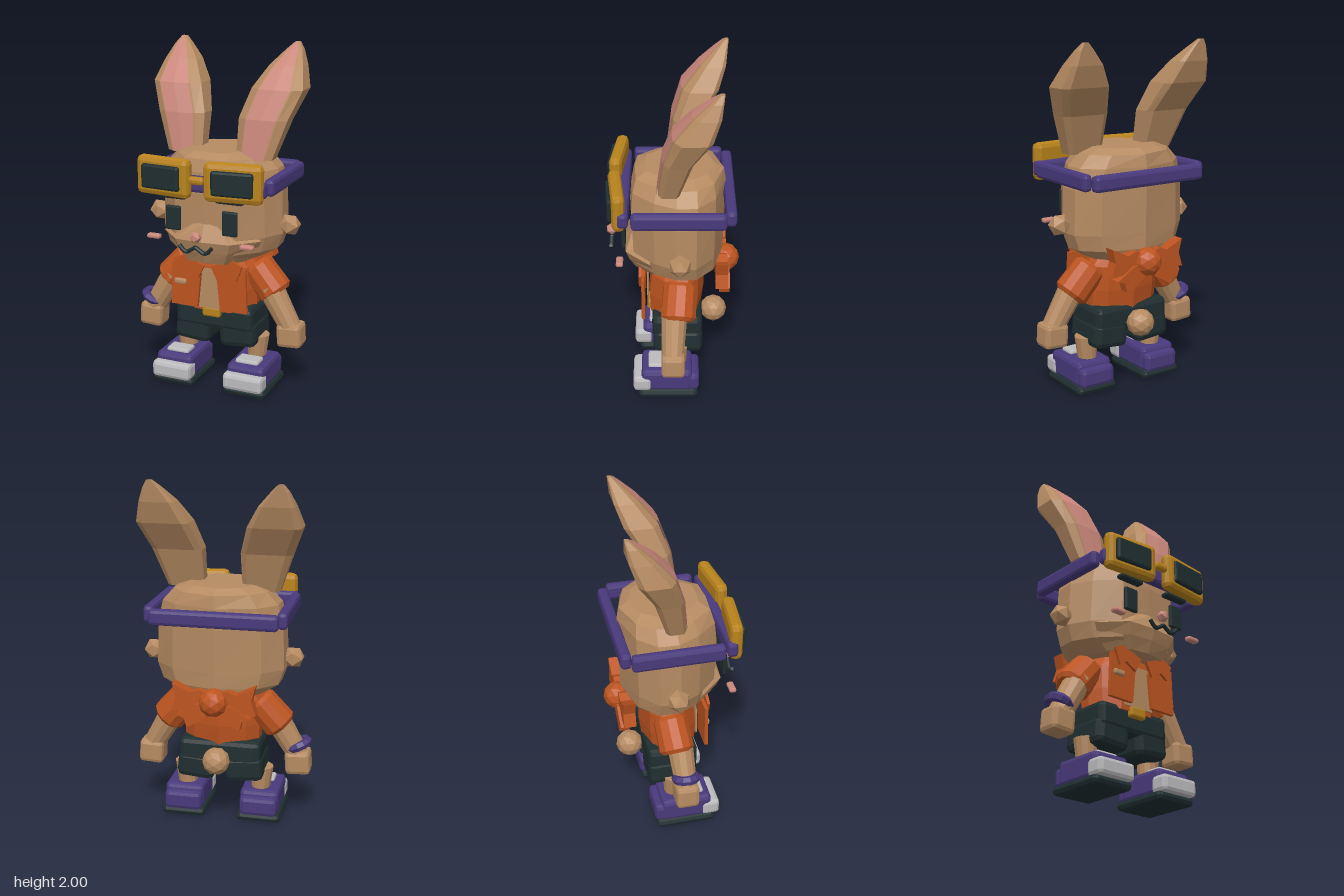
import * as THREE from 'three';
import { RoundedBoxGeometry } from 'three/addons/geometries/RoundedBoxGeometry.js';

export function createModel() {
  const root = new THREE.Group();
  root.name = 'rabbit';
  const mat = (name, color) => {
    const m = new THREE.MeshStandardMaterial({ color });
    m.name = name;
    return m;
  };
  const fur = mat('fur', 0xb68b62), orange = mat('orange cloth', 0xbd5420), purple = mat('purple', 0x493a7c);
  const gold = mat('gold', 0xb9831c), dark = mat('dark', 0x202e30), white = mat('light grey', 0xbcbcbe);
  const pink = mat('pink', 0xca877b);
  pink.side = THREE.DoubleSide;

  // Faceted mesh
  const add = (name, geo, m, x = 0, y = 0, z = 0) => {
    const g = geo.index ? geo.toNonIndexed() : geo;
    g.computeVertexNormals();
    const mesh = new THREE.Mesh(g, m);
    mesh.name = name;
    mesh.position.set(x, y, z);
    root.add(mesh);
    return mesh;
  };
  // Bevelled box given by its limits
  const box = (name, m, [x0, x1], [y0, y1], [z0, z1], r = 0.02) =>
    add(name, new RoundedBoxGeometry(x1 - x0, y1 - y0, z1 - z0, 1, r), m, (x0 + x1) / 2, (y0 + y1) / 2, (z0 + z1) / 2);
  // x limits on the chosen side
  const side = (s, a, b) => (s > 0 ? [a, b] : [-b, -a]);
  // Tapered limb between two points, with optional bevelled ends
  const limb = (name, m, a, b, ra, rb, n = 12, bevel = 0) => {
    const p = new THREE.Vector3(...a), q = new THREE.Vector3(...b), d = q.clone().sub(p), h = d.length() / 2;
    const profile = [[0, -h], [ra - bevel, -h], [ra, -h + bevel], [rb, h - bevel], [rb - bevel, h], [0, h]];
    const mesh = add(name, new THREE.LatheGeometry(profile.map(([r, y]) => new THREE.Vector2(r, y)), n), m);
    mesh.position.copy(p).add(q).multiplyScalar(0.5);
    mesh.quaternion.setFromUnitVectors(new THREE.Vector3(0, 1, 0), d.normalize());
    return mesh;
  };
  // Skin over stacked rings, counter-clockwise from above
  const loft = (rings, closed = true) => {
    const v = [], n = rings[0].length;
    const mid = (r) => r.reduce((c, p) => c.map((k, i) => k + p[i] / n), [0, 0, 0]);
    for (let j = 0; j < rings.length - 1; j++) {
      const a = rings[j], b = rings[j + 1];
      for (let i = 0; i < (closed ? n : n - 1); i++) {
        const k = (i + 1) % n;
        v.push(...a[i], ...a[k], ...b[k], ...a[i], ...b[k], ...b[i]);
      }
    }
    if (closed) {
      const lo = rings[0], hi = rings[rings.length - 1], cl = mid(lo), ch = mid(hi);
      for (let i = 0; i < n; i++) {
        const k = (i + 1) % n;
        v.push(...cl, ...lo[k], ...lo[i], ...ch, ...hi[i], ...hi[k]);
      }
    }
    const g = new THREE.BufferGeometry();
    g.setAttribute('position', new THREE.Float32BufferAttribute(v, 3));
    return g;
  };
  // Flat plate from an outline, mirrored by s
  const plate = (name, m, pts, s, depth, z) => {
    const shape = new THREE.Shape(pts.map(([x, y]) => new THREE.Vector2(x * s, y)));
    return add(name, new THREE.ExtrudeGeometry(shape, { depth, bevelEnabled: false }), m, 0, 0, z);
  };

  // Head
  const half = [[0.5, 0.96], [0.83, 0.5], [1, 0.05], [0.98, -0.38], [0.68, -0.76]];
  const outline = [[0, 1], ...half, [0, -1], ...half.map(([u, w]) => [-u, w]).reverse()];
  const ring = ([y, w, zf, zb]) => outline.map(([u, t]) => [u * w, y, (zf + zb) / 2 + t * (zf - zb) / 2]);
  add('head', loft([
    [0.8, 0.24, 0.2, -0.27], [0.86, 0.34, 0.225, -0.285], [0.95, 0.372, 0.235, -0.287], [1.2, 0.365, 0.245, -0.293],
    [1.32, 0.335, 0.235, -0.293], [1.39, 0.27, 0.215, -0.28], [1.42, 0.19, 0.16, -0.23],
  ].map(ring)), fur);
  // Muzzle with cheeks swept back
  add('muzzle', loft([[0.8, 0.2, 0.235, 0.1], [0.87, 0.26, 0.265, 0.1], [0.935, 0.3, 0.285, 0.12], [1.03, 0.12, 0.245, 0.14]]
    .map(([y, w, f, b]) => [[0, y, f], [w * 0.55, y, f - 0.015], [w, y, b + 0.01], [w * 0.7, y, b],
      [-w * 0.7, y, b], [-w, y, b + 0.01], [-w * 0.55, y, f - 0.015]])), fur);
  add('nose', new THREE.IcosahedronGeometry(0.034), pink, 0, 0.985, 0.355);

  // Ears: y, outer x, inner x, front z, back z
  const earRows = [
    [1.38, 0.325, 0.115, 0.035, -0.08], [1.6, 0.4, 0.115, 0.005, -0.15], [1.76, 0.462, 0.165, -0.05, -0.25],
    [1.88, 0.43, 0.235, -0.15, -0.29], [1.96, 0.4, 0.305, -0.235, -0.3], [2.0, 0.375, 0.345, -0.28, -0.305],
  ];
  const earSection = [[0, 0.2], [0.17, 0.02], [0.5, 0], [0.83, 0.02], [1, 0.2], [1, 0.85], [0.88, 1], [0.12, 1], [0, 0.85]];
  const innerSection = [[0.2, 0], [0.5, -0.03], [0.8, 0]];

  for (const s of [-1, 1]) {
    const tag = s > 0 ? 'left' : 'right';
    const S = (a, b) => side(s, a, b);
    const earRing = (section) => ([y, xo, xi, f, b]) => {
      const [x0, x1] = S(xi, xo);
      return section.map(([u, t]) => [x0 + (x1 - x0) * u, y, f + (b - f) * t]);
    };
    const dz = s > 0 ? 0.05 : 0;
    add(tag + 'Ear', loft(earRows.map(earRing(earSection))), fur, 0, 0, dz);
    add(tag + 'InnerEar', loft(earRows.map(earRing(innerSection)), false), pink, 0, 0, dz + 0.005);

    // Face details
    add(tag + 'CheekTuft', new THREE.IcosahedronGeometry(0.065), fur, s * 0.405, 1, -0.035);
    box(tag + 'Eye', dark, S(0.125, 0.215), [0.99, 1.13], [0.268, 0.29], 0.009);
    box(tag + 'Brow', dark, S(0.09, 0.25), [1.172, 1.198], [0.25, 0.3], 0.01);
    box(tag + 'Blush', pink, S(0.24, 0.32), [0.933, 0.96], [0.28, 0.32], 0.01);
    const lip = [[0, 0.93], [0.05, 0.898], [0.072, 0.905], [0.098, 0.934]];
    for (let i = 1; i < lip.length; i++) {
      const [[x0, y0], [x1, y1]] = [lip[i - 1], lip[i]];
      limb(tag + 'Lip' + i, dark, [s * x0, y0, 0.357], [s * x1, y1, 0.357], 0.012, 0.012, 6);
    }

    // Goggles and side strap
    box(tag + 'GoggleFrame', gold, S(0.04, 0.372), [1.19, 1.41], [0.275, 0.347], 0.03).rotation.y = s * 0.11;
    box(tag + 'Lens', dark, S(0.092, 0.33), [1.232, 1.37], [0.335, 0.367], 0.014).rotation.y = s * 0.08;
    box(tag + 'Strap', purple, S(0.345, 0.402), [1.22, 1.315], [-0.285, 0.23]);

    // Open shirt front, collar and sleeve
    plate(tag + 'ShirtPanel', orange, [[0.07, 0.51], [0.235, 0.51], [0.225, 0.77], [0.08, 0.77], [0.05, 0.71]], s, 0.02, 0.165);
    plate(tag + 'Collar', orange, [[0.06, 0.69], [0.13, 0.73], [0.175, 0.7], [0.21, 0.79], [0.15, 0.82], [0.02, 0.77]], s, 0.016, 0.184);
    limb(tag + 'Sleeve', orange, [s * 0.2, 0.742, -0.04], [s * 0.343, 0.578, -0.025], 0.098, 0.102, 12, 0.022);

    // Arm and hand
    limb(tag + 'Arm', fur, [s * 0.3, 0.63, -0.005], [s * 0.435, 0.4, 0.005], 0.077, 0.064);
    box(tag + 'Hand', fur, S(0.366, 0.512), [0.29, 0.43], [-0.065, 0.07], 0.024).rotation.z = s * 0.06;

    // Short leg, ankle and shoe
    box(tag + 'ShortsLeg', dark, S(0.03, 0.25), [0.262, 0.42], [-0.17, 0.12], 0.035).rotation.z = s * 0.08;
    limb(tag + 'Leg', fur, [s * 0.22, 0.17, -0.02], [s * 0.23, 0.32, -0.02], 0.054, 0.066);
    box(tag + 'Sole', dark, S(0.095, 0.355), [0.005, 0.06], [-0.145, 0.21], 0.025);
    box(tag + 'Shoe', purple, S(0.11, 0.34), [0.045, 0.19], [-0.11, 0.19], 0.025);
    box(tag + 'Heel', purple, S(0.115, 0.335), [0.045, 0.16], [-0.152, 0.02], 0.025);
    box(tag + 'ToeCap', white, S(0.104, 0.346), [0.05, 0.147], [0.13, 0.24], 0.022);
    box(tag + 'Tongue', white, S(0.15, 0.29), [0.18, 0.21], [0.05, 0.15], 0.012);

    // Back bow
    plate(tag + 'BowLoop', orange, [[0, 0.83], [0.08, 0.86], [0.13, 0.84], [0.235, 0.89], [0.215, 0.81], [0.24, 0.73],
      [0.12, 0.74], [0, 0.75]], s, 0.07, -0.31);
    plate(tag + 'BowTail', orange, [[0, 0.79], [0.1, 0.78], [0.21, 0.71], [0.165, 0.695], [0.15, 0.64], [0.04, 0.7]], s, 0.06, -0.325);
  }

  // Goggle bridge and strap
  box('goggleBridge', gold, [-0.045, 0.045], [1.278, 1.322], [0.32, 0.36], 0.015);
  box('frontStrap', purple, [-0.38, 0.38], [1.22, 1.31], [0.243, 0.305]);
  box('backStrap', purple, [-0.36, 0.36], [1.22, 1.31], [-0.34, -0.28]);

  // Torso
  add('torso', loft([[0.48, 0.22, 0.14, -0.165], [0.6, 0.225, 0.145, -0.18], [0.74, 0.22, 0.13, -0.18], [0.81, 0.17, 0.115, -0.17]]
    .map(ring)), orange);
  plate('belly', fur, [[-0.1, 0.5], [0.1, 0.5], [0.075, 0.74], [-0.075, 0.74]], 1, 0.008, 0.147);
  limb('neck', fur, [0, 0.74, -0.02], [0, 0.84, -0.02], 0.13, 0.13);
  box('pocket', fur, [-0.212, -0.137], [0.638, 0.672], [0.175, 0.2], 0.01);

  // Shorts, buckle, tail, bow knot
  box('shorts', dark, [-0.24, 0.24], [0.36, 0.51], [-0.168, 0.125], 0.03);
  box('buckle', gold, [-0.055, 0.055], [0.447, 0.508], [0.11, 0.157], 0.012);
  add('tail', new THREE.IcosahedronGeometry(0.08, 1), fur, 0, 0.415, -0.24);
  add('bowKnot', new THREE.IcosahedronGeometry(0.083, 1), orange, 0, 0.79, -0.302);

  // Bracelet on the right wrist
  const band = add('bracelet', new THREE.TorusGeometry(0.058, 0.027, 6, 12), purple, -0.436, 0.462, 0.003);
  band.quaternion.setFromUnitVectors(new THREE.Vector3(0, 0, 1), new THREE.Vector3(-0.4, -0.92, 0).normalize());

  return root;
}
